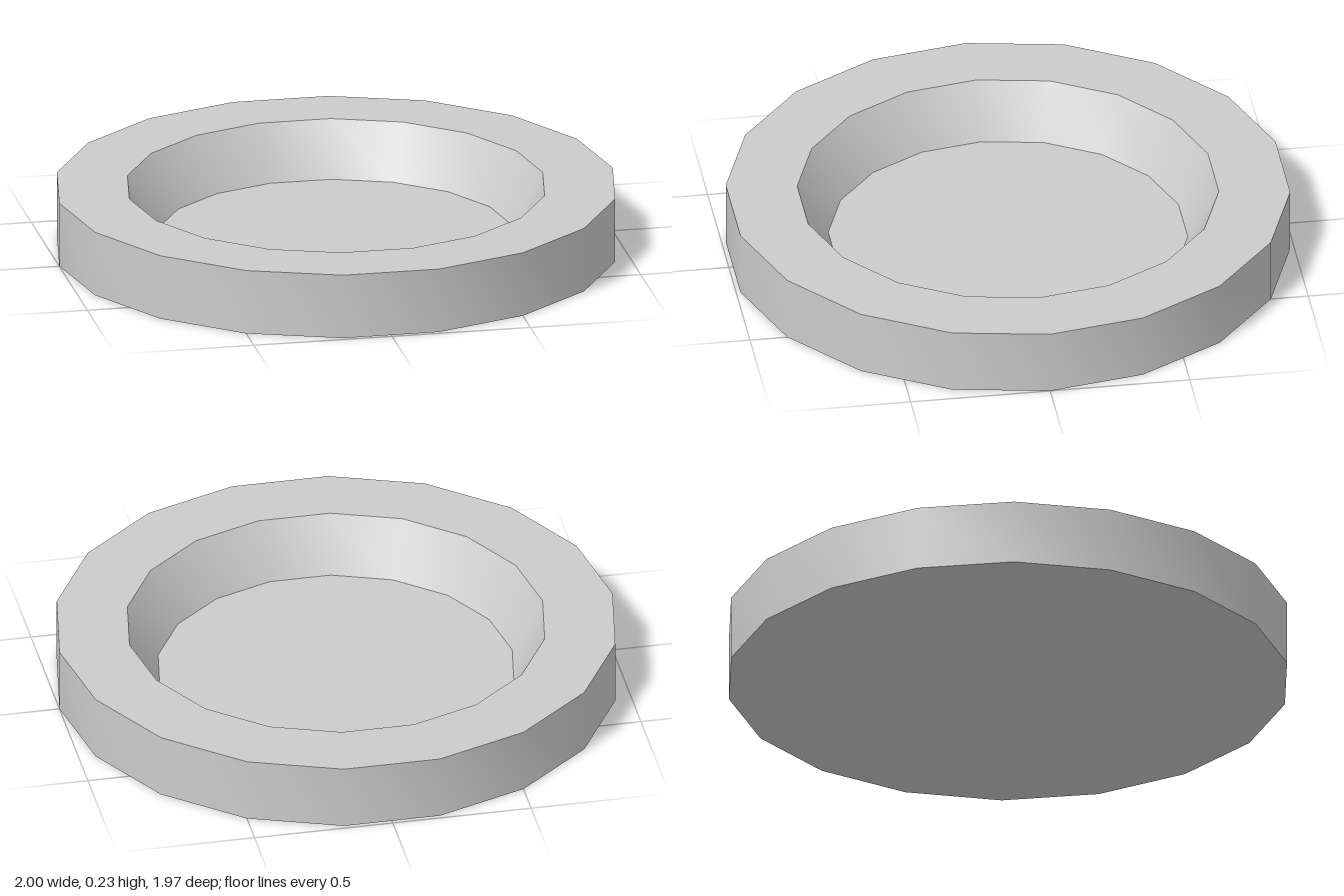
import * as THREE from 'three';
import { toCreasedNormals } from 'three/addons/utils/BufferGeometryUtils.js';

const SIDES = 18;

export function createModel() {
  const group = new THREE.Group();
  group.name = 'shallowDish';
  const material = new THREE.MeshStandardMaterial({ color: 0xcccccc });

  // Closed profile: underside, outer wall, flat rim, sloped inner wall, floor
  const profile = [
    [0, 0],
    [1, 0],
    [1, 0.235],
    [0.747, 0.235],
    [0.637, 0.045],
    [0, 0.045],
  ].map(([r, y]) => new THREE.Vector2(r, y));

  // A corner of the polygon points along x; walls are smooth, rims stay sharp
  const lathe = new THREE.LatheGeometry(profile, SIDES, Math.PI / 2);
  const dish = new THREE.Mesh(toCreasedNormals(lathe, 0.6), material);
  dish.name = 'dish';
  group.add(dish);

  return group;
}
